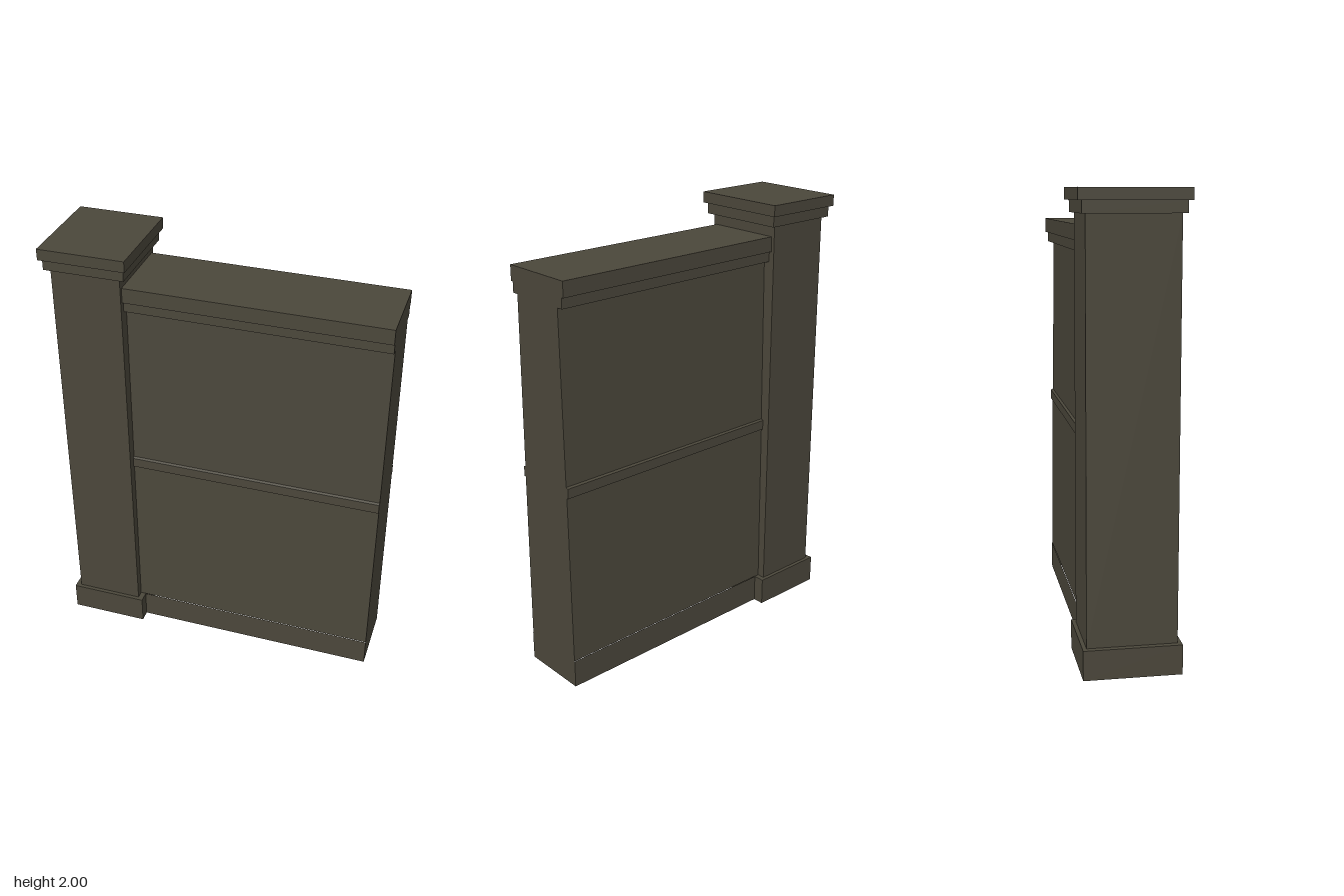
import * as THREE from 'three';

const PILLAR_X = -0.556;
const WALL_END = 0.75;
const BASE_H = 0.13;

export function createModel() {
  const group = new THREE.Group();
  const stone = new THREE.MeshStandardMaterial({ color: 0x4b473b, side: THREE.DoubleSide });
  stone.name = 'dark stone';

  const add = (parent, name, geometry) => {
    const mesh = new THREE.Mesh(geometry, stone);
    mesh.name = name;
    parent.add(mesh);
  };

  // Box between two heights; skip lists faces left open (0 +x, 1 -x, 2 +y, 3 -y, 4 +z, 5 -z)
  const block = (w, d, y0, y1, x, skip = []) => {
    const g = new THREE.BoxGeometry(w, y1 - y0, d);
    const index = Array.from(g.index.array).filter((_, i) => !skip.includes(Math.floor(i / 6)));
    g.setIndex(index);
    g.clearGroups();
    return g.translate(x, (y0 + y1) / 2, 0);
  };

  // Pillar: hollow plinth, shaft and stepped cap
  const pillar = new THREE.Group();
  pillar.name = 'pillar';
  group.add(pillar);
  add(pillar, 'pillarPlinth', block(0.36, 0.42, 0, BASE_H, PILLAR_X, [3]));
  add(pillar, 'pillarShaft', block(0.31, 0.385, BASE_H, 1.9, PILLAR_X));
  add(pillar, 'lowerCap', block(0.36, 0.42, 1.9, 1.95, PILLAR_X));
  add(pillar, 'upperCap', block(0.388, 0.454, 1.95, 2, PILLAR_X));

  // Wall: hollow base running to the middle of the pillar
  const wall = new THREE.Group();
  wall.name = 'wall';
  group.add(wall);
  const length = WALL_END - PILLAR_X;
  add(wall, 'wallBase', block(length, 0.316, 0, BASE_H, (WALL_END + PILLAR_X) / 2, [1, 2, 3]));

  // Wall body: tapering panels, middle rail and stepped coping as one profile (half depth, height)
  const half = [
    [0.156, BASE_H], [0.148, 0.92], [0.157, 0.92], [0.157, 0.965], [0.146, 0.97],
    [0.136, 1.735], [0.165, 1.735], [0.165, 1.782], [0.177, 1.782], [0.177, 1.85],
  ];
  const outline = [...half, ...half.map(([z, y]) => [-z, y]).reverse()];
  const shape = new THREE.Shape(outline.map(([z, y]) => new THREE.Vector2(z, y)));
  const body = new THREE.ExtrudeGeometry(shape, { depth: length, bevelEnabled: false });
  body.rotateY(Math.PI / 2).translate(PILLAR_X, 0, 0);
  body.clearGroups();
  add(wall, 'wallBody', body);

  return group;
}
